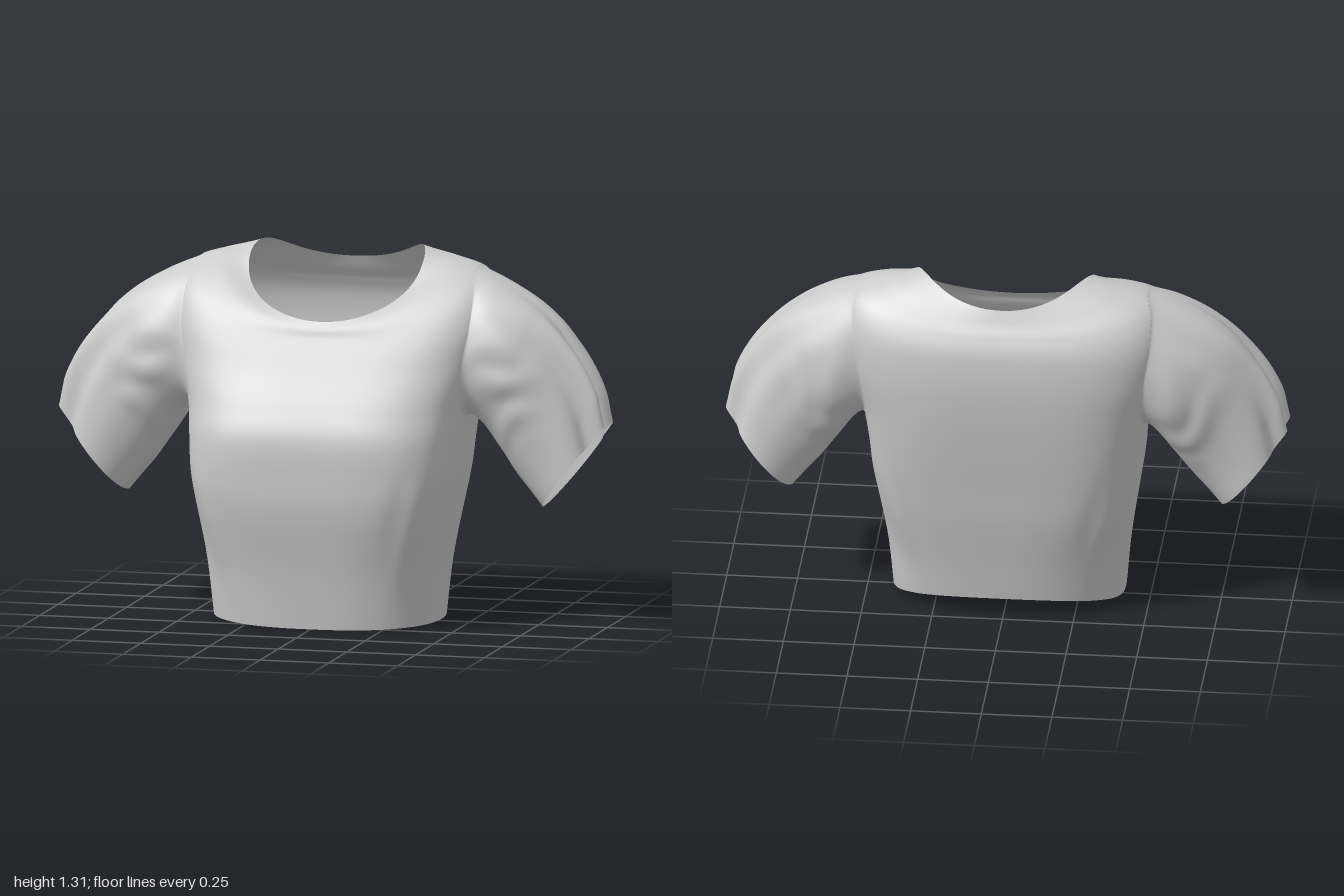
import * as THREE from 'three';

const material = new THREE.MeshStandardMaterial({ color: 0xcccccc, side: THREE.DoubleSide });

// Smooth interpolation through a table of rows, v in 0..1
function sampleRows(rows, v) {
  const f = v * (rows.length - 1);
  const i = Math.min(Math.floor(f), rows.length - 2);
  const t = f - i;
  const last = rows.length - 1;
  return rows[i].map((p1, k) => {
    const p2 = rows[i + 1][k];
    const p0 = i > 0 ? rows[i - 1][k] : 2 * p1 - p2;
    const p3 = i + 2 <= last ? rows[i + 2][k] : 2 * p2 - p1;
    return p1 + 0.5 * t * (p2 - p0 + t * (2 * p0 - 5 * p1 + 4 * p2 - p3 + t * (3 * (p1 - p2) + p3 - p0)));
  });
}

// Open-ended tube of cloth: point(v, angle) gives [x, y, z]; skip(v, angle) cuts holes
function clothTube(name, rings, segs, point, flip, skip = () => false) {
  const pos = [], index = [];
  const step = (Math.PI * 2) / segs;
  for (let i = 0; i <= rings; i++)
    for (let j = 0; j < segs; j++) pos.push(...point(i / rings, j * step));
  for (let i = 0; i < rings; i++) {
    for (let j = 0; j < segs; j++) {
      if (skip((i + 0.5) / rings, (j + 0.5) * step)) continue;
      const a = i * segs + j, b = i * segs + ((j + 1) % segs);
      const c = a + segs, d = b + segs;
      if (flip) index.push(a, b, c, b, d, c);
      else index.push(a, c, b, b, c, d);
    }
  }
  const geometry = new THREE.BufferGeometry();
  geometry.setAttribute('position', new THREE.Float32BufferAttribute(pos, 3));
  geometry.setIndex(index);
  geometry.computeVertexNormals();
  const mesh = new THREE.Mesh(geometry, material);
  mesh.name = name;
  return mesh;
}

const bump = (x, centre, width) => Math.exp(-(((x - centre) / width) ** 2));
const spow = (x, e) => Math.sign(x) * Math.abs(x) ** e;

// Body rings, hem to neckline:
// half width, front z, side z, back z, front y, side y, back y, roundness, shoulder peak
const bodyRings = [
  [0.41, 0.305, 0.03, -0.24, 0.005, 0.02, 0.08, 0.8, 0],
  [0.425, 0.335, 0.03, -0.27, 0.2, 0.2, 0.22, 0.72, 0],
  [0.455, 0.375, 0.02, -0.31, 0.4, 0.4, 0.4, 0.6, 0],
  [0.475, 0.385, 0.0, -0.335, 0.52, 0.54, 0.55, 0.54, 0],
  [0.485, 0.38, -0.03, -0.36, 0.68, 0.66, 0.7, 0.54, 0],
  [0.505, 0.335, -0.07, -0.38, 0.79, 0.79, 0.85, 0.58, 0],
  [0.55, 0.27, -0.1, -0.387, 0.9, 0.95, 0.98, 0.62, 0],
  [0.58, 0.225, -0.11, -0.378, 0.98, 1.12, 1.09, 0.68, 0],
  [0.545, 0.2, -0.115, -0.352, 1.025, 1.228, 1.15, 0.75, 0.01],
  [0.425, 0.188, -0.1, -0.325, 1.055, 1.255, 1.18, 0.85, 0.04],
  [0.315, 0.17, -0.06, -0.3, 1.08, 1.21, 1.2, 1, 0.11],
];

function bodyPoint(v, t) {
  const [w, zf, zc, zb, yf, ys, yb, e, peak] = sampleRows(bodyRings, v);
  const c = Math.cos(t), s = Math.sin(t), front = s > 0;
  const k = Math.abs(s) ** e;
  const rise = Math.abs(s) ** 1.5;
  const x = w * spow(c, e);
  const z = zc + ((front ? zf : zb) - zc) * k;
  const y = ys + ((front ? yf : yb) - ys) * rise + peak * bump(s, -0.42, 0.6);
  // Soft diagonal drag lines at the waist sides
  const fold = 0.006 * bump(y, 0.32, 0.2) * bump(Math.abs(x), 0.38, 0.08) * Math.sin(14 * y - 45 * Math.abs(x));
  return [x * (1 + fold), y, z + fold * Math.sign(s)];
}

// Armhole loop on the body surface: an ellipse around the side line
const armhole = { v: 0.65, halfV: 0.2, halfT: 0.58 };

function armholePoint(scale, u) {
  return bodyPoint(armhole.v + armhole.halfV * scale * Math.cos(u), armhole.halfT * scale * Math.sin(u));
}

function inArmhole(v, t) {
  const sideAngle = Math.asin(Math.sin(t)); // same on both sides
  return Math.hypot((v - armhole.v) / armhole.halfV, sideAngle / armhole.halfT) < 0.96;
}

// Sleeve rings, armhole to cuff: top x, top y, bottom x, bottom y, front z, back z
const sleeveRings = [
  [0.46, 1.24, 0.46, 0.77, 0.13, -0.305],
  [0.61, 1.215, 0.535, 0.71, 0.14, -0.305],
  [0.775, 1.11, 0.605, 0.615, 0.118, -0.268],
  [0.88, 0.985, 0.66, 0.535, 0.1, -0.23],
  [0.945, 0.85, 0.71, 0.475, 0.093, -0.215],
  [0.98, 0.705, 0.755, 0.42, 0.09, -0.21],
];

function sleevePoint(side, v, angle) {
  const [tx, ty, bx, by, zf, zb] = sampleRows(sleeveRings, v);
  const u = angle > Math.PI ? angle - Math.PI * 2 : angle;
  const grow = Math.min(1, v * 1.15) ** 2;
  // Pinched pleats on the outer arm, deepest at the cuff
  const pleats = grow * (0.22 * bump(u, 0.45, 0.17) - 0.25 * bump(u, 0.12, 0.14) + 0.16 * bump(u, -0.28, 0.16)
    - 0.1 * bump(u, -0.65, 0.2) - 0.1 * bump(u, 0.85, 0.2));
  // Lengthwise gathers on the upper sleeve
  const gathers = 0.02 * bump(v, 0.52, 0.24) * Math.sin(11 * u + 2 * v) * bump(u, 0, 1.5);
  // Crumpled cloth near the underarm
  const crumple = 0.03 * bump(v, 0.35, 0.17) * bump(Math.abs(u), 1.8, 0.6)
    * Math.sin(30 * v + 5 * Math.abs(u) + u + 1.5 * Math.sin(4 * u));
  const r = 1 + pleats + gathers + crumple;
  const c = Math.cos(u) * r * 0.5, s = Math.sin(u) * r * 0.5;
  const arm = [(tx + bx) / 2 + (tx - bx) * c, (ty + by) / 2 + (ty - by) * c, (zf + zb) / 2 + (zf - zb) * s];
  // Leave the body surface smoothly and turn into the arm tube
  const blend = THREE.MathUtils.smoothstep(v, 0, 0.35);
  const root = armholePoint(1 - Math.min(v, 0.35) * 0.9, u);
  const [x, y, z] = root.map((p, i) => p + (arm[i] - p) * blend);
  return [side * x, y, z];
}

export function createModel() {
  const shirt = new THREE.Group();
  shirt.name = 'croppedShirt';

  // Body with open armholes
  shirt.add(clothTube('body', 100, 192, bodyPoint, false, inArmhole));

  // Mirrored short sleeves
  for (const side of [1, -1]) {
    const name = side > 0 ? 'leftSleeve' : 'rightSleeve';
    shirt.add(clothTube(name, 72, 144, (v, u) => sleevePoint(side, v, u), side > 0));
  }
  return shirt;
}
